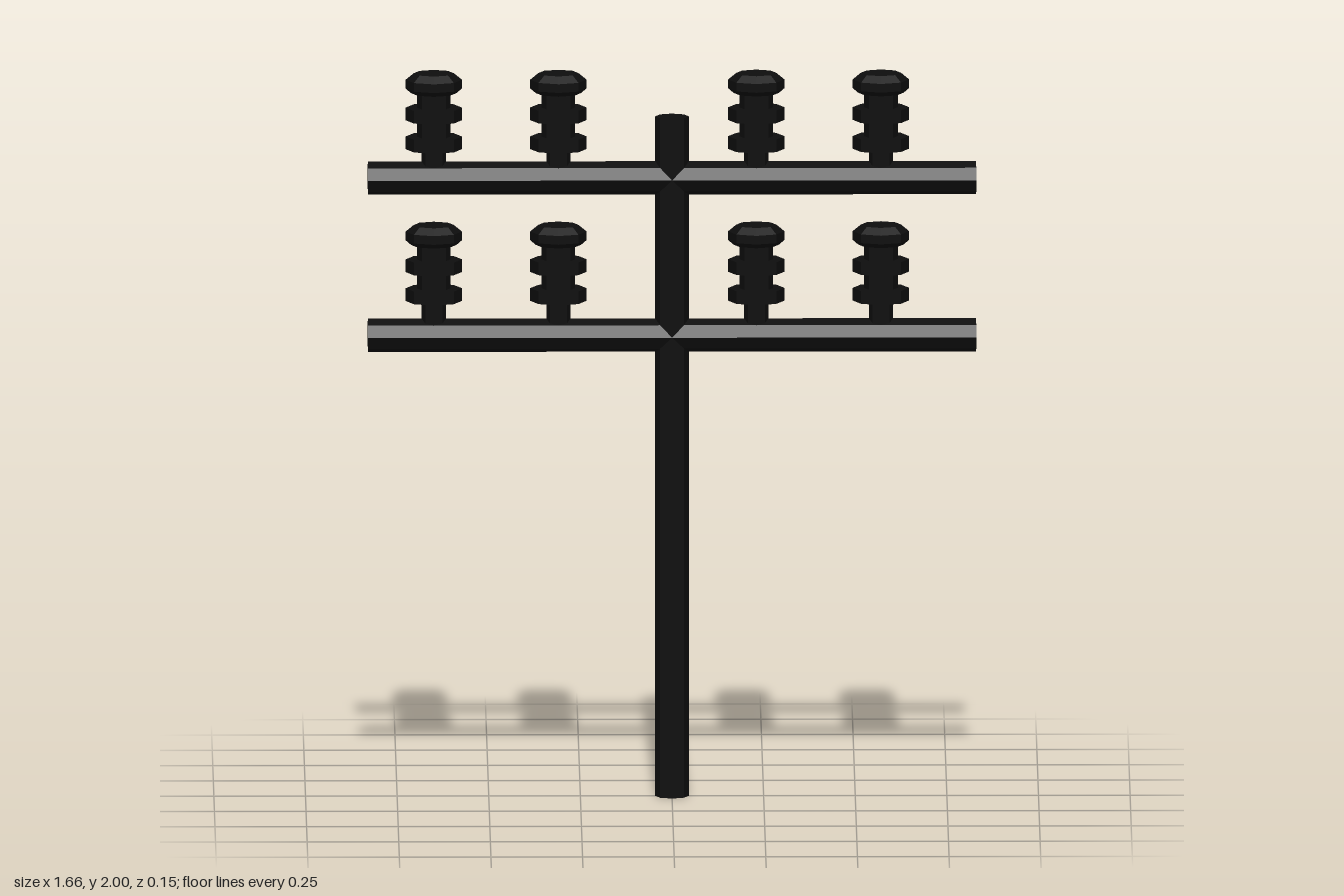
import * as THREE from 'three';

const SIDES = 8;

export function createModel() {
  const model = new THREE.Group();
  model.name = 'utilityPole';
  const material = new THREE.MeshStandardMaterial({ color: 0x0d0d0d, flatShading: true });

  const add = (name, geometry, x, y) => {
    const mesh = new THREE.Mesh(geometry, material);
    mesh.name = name;
    mesh.position.set(x, y, 0);
    model.add(mesh);
  };

  // Upright post
  add('post', new THREE.CylinderGeometry(0.046, 0.046, 1.88, SIDES), 0, 0.94);

  // Crossarm lying along x
  const armGeometry = new THREE.CylinderGeometry(0.046, 0.046, 1.66, SIDES).rotateZ(Math.PI / 2);

  // Insulator outline (radius, height above the crossarm axis): pin, two discs, cap
  const profile = [
    [0, 0], [0.033, 0], [0.033, 0.08],
    [0.077, 0.08], [0.077, 0.115], [0.046, 0.115],
    [0.046, 0.16], [0.077, 0.16], [0.077, 0.195], [0.046, 0.195],
    [0.046, 0.235], [0.062, 0.235], [0.077, 0.248], [0.077, 0.272], [0.055, 0.29], [0, 0.29],
  ].map(([r, y]) => new THREE.Vector2(r, y));
  const insulatorGeometry = new THREE.LatheGeometry(profile, SIDES);

  // Two crossarms, each carrying four insulators
  [['lower', 1.29, 1.275], ['upper', 1.71, 1.71]].forEach(([level, base, armY]) => {
    add(`${level}Crossarm`, armGeometry, 0, armY);
    [-0.65, -0.31, 0.23, 0.57].forEach((x, i) => {
      add(`${level}Insulator${i + 1}`, insulatorGeometry, x, base);
    });
  });

  return model;
}
